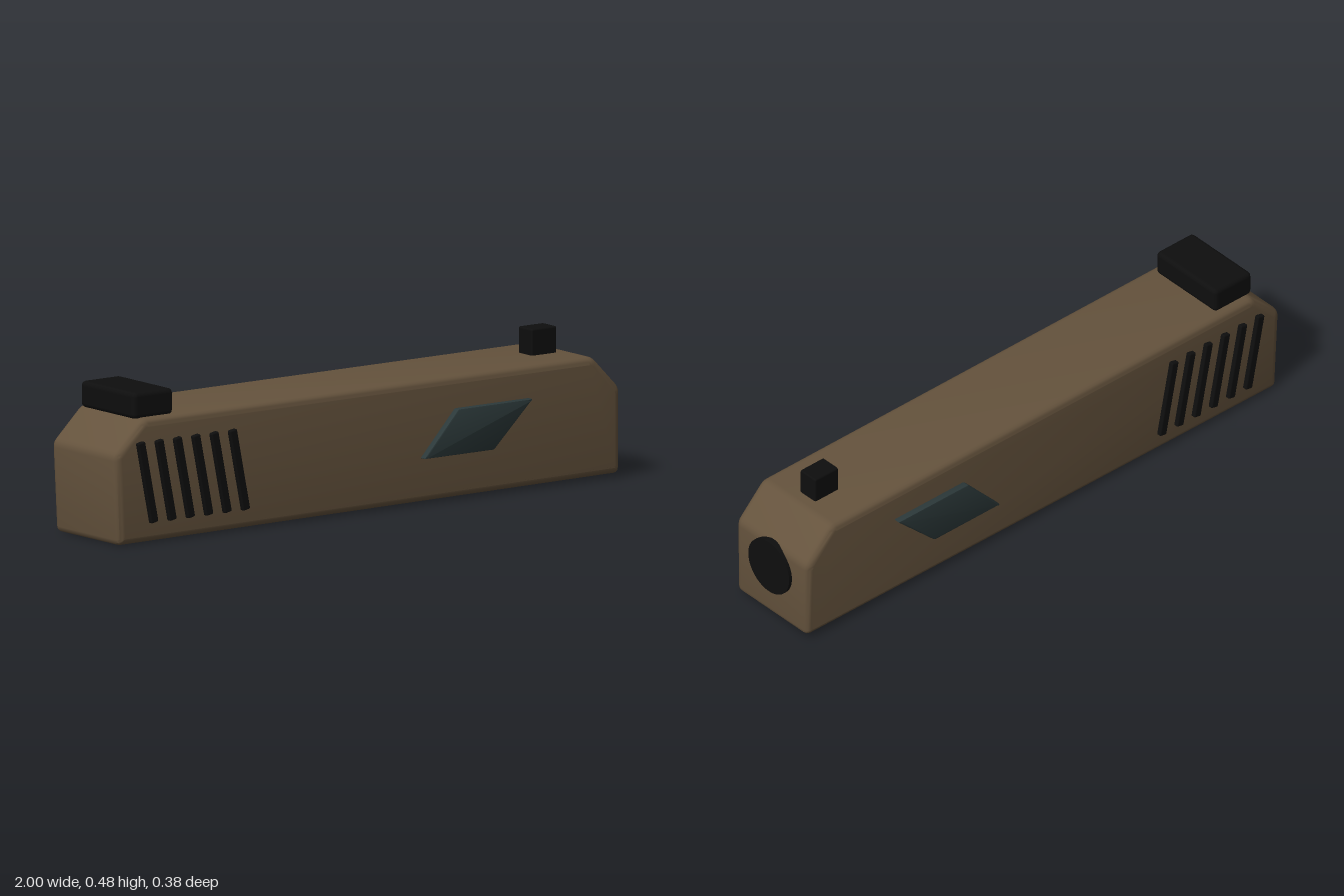
import * as THREE from 'three';
import { toCreasedNormals } from 'three/addons/utils/BufferGeometryUtils.js';
import { RoundedBoxGeometry } from 'three/addons/geometries/RoundedBoxGeometry.js';

function material(name, color) {
  const m = new THREE.MeshStandardMaterial({ color });
  m.name = name;
  return m;
}

// Closed outline with each corner rounded by a distance r
function roundedShape(points, r) {
  const p = points.map(([x, y]) => new THREE.Vector2(x, y));
  const shape = new THREE.Shape();
  p.forEach((c, i) => {
    const toward = (q) => c.clone().add(q.clone().sub(c).setLength(r));
    const a = toward(p[(i + p.length - 1) % p.length]);
    const b = toward(p[(i + 1) % p.length]);
    if (i === 0) shape.moveTo(a.x, a.y);
    else shape.lineTo(a.x, a.y);
    shape.quadraticCurveTo(c.x, c.y, b.x, b.y);
  });
  shape.closePath();
  return shape;
}

// Side outline extruded from z0 to z1 with bevelled edges
function slab(shape, z0, z1, bevel, segments) {
  const geo = new THREE.ExtrudeGeometry(shape, {
    depth: z1 - z0 - 2 * bevel,
    bevelEnabled: true,
    bevelThickness: bevel,
    bevelSize: bevel,
    bevelOffset: -bevel,
    bevelSegments: segments,
    curveSegments: 3,
  });
  geo.translate(0, 0, z0 + bevel);
  return toCreasedNormals(geo, 0.6);
}

export function createModel() {
  const group = new THREE.Group();
  const brown = material('brown', 0x65533d);
  const black = material('black', 0x0e0e0e);
  const slate = material('slate', 0x2c393a);

  const add = (name, geo, mat, x = 0, y = 0, z = 0) => {
    const mesh = new THREE.Mesh(geo, mat);
    mesh.name = name;
    mesh.position.set(x, y, z);
    group.add(mesh);
    return mesh;
  };

  // Long body with sloped upper corners
  const profile = roundedShape([
    [-0.985, 0], [0.983, 0.012], [0.985, 0.285],
    [0.878, 0.394], [-0.888, 0.394], [-1, 0.288],
  ], 0.018);
  add('body', slab(profile, -0.169, 0.169, 0.024, 4), brown);

  // Round dark face at the front end
  const disc = new THREE.CylinderGeometry(0.096, 0.096, 0.03, 48);
  disc.rotateZ(-Math.PI / 2);
  add('endDisc', disc, black, 0.981, 0.201, 0);

  // Blocks on top
  add('rearBlock', new RoundedBoxGeometry(0.155, 0.084, 0.281, 3, 0.015), black, -0.828, 0.432, 0);
  add('frontBlock', new RoundedBoxGeometry(0.098, 0.09, 0.072, 2, 0.006), black, 0.784, 0.433, 0);

  // Slanted ribs and diamond panels on both sides
  const panel = roundedShape([[0.195, 0.148], [0.47, 0.148], [0.622, 0.293], [0.33, 0.293]], 0.005);
  for (const side of [1, -1]) {
    const label = side > 0 ? 'front' : 'back';
    for (let i = 0; i < 6; i++) {
      const rib = new RoundedBoxGeometry(0.028, 0.265, 0.026, 2, 0.005);
      add(label + 'Rib' + (i + 1), rib, black, -0.881 + i * 0.072, 0.194, side * 0.171)
        .rotation.z = 0.2;
    }
    const [z0, z1] = side > 0 ? [0.166, 0.192] : [-0.192, -0.166];
    add(label + 'Panel', slab(panel, z0, z1, 0.005, 2), slate);
  }

  return group;
}
